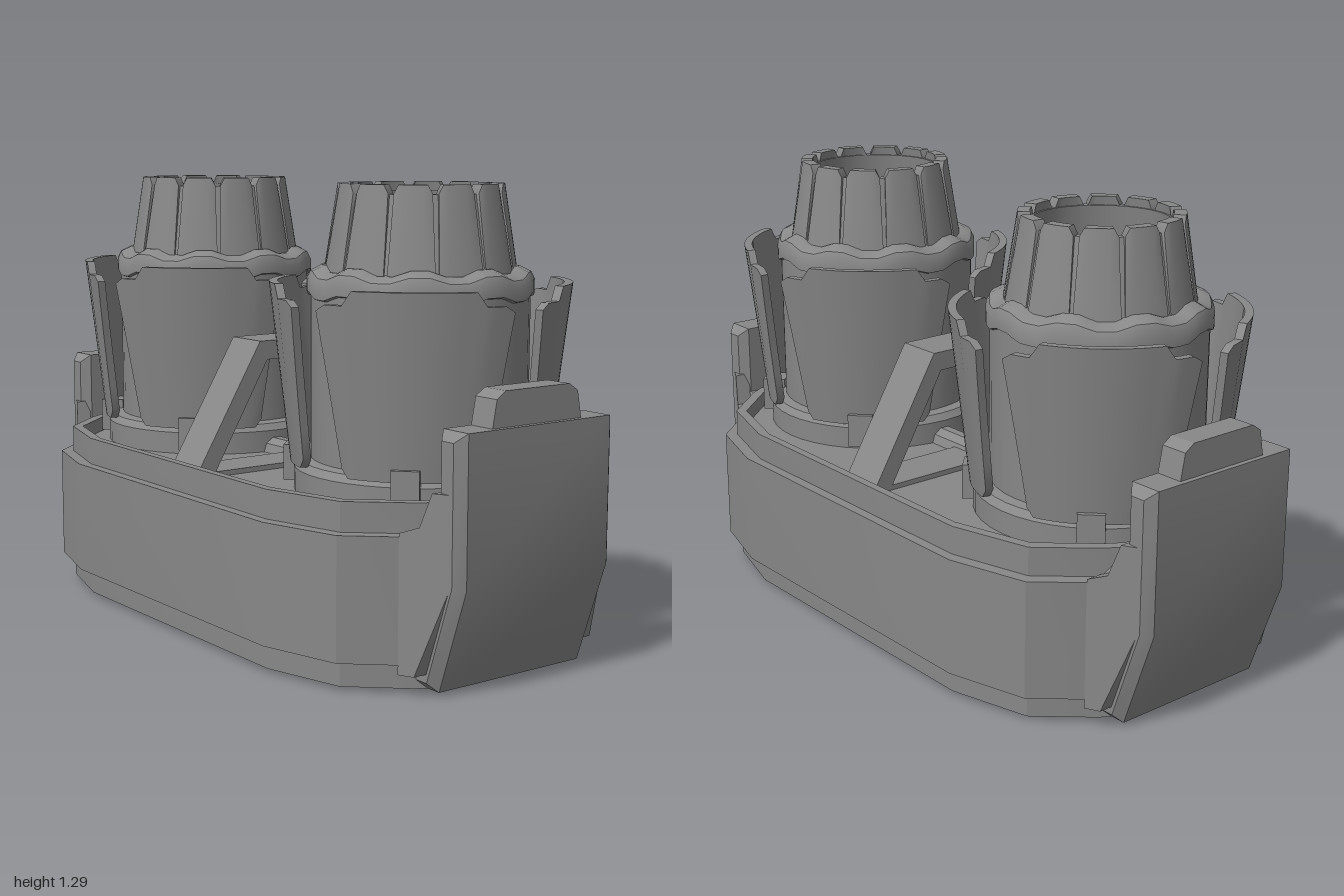
import * as THREE from 'three';
import { toCreasedNormals } from 'three/addons/utils/BufferGeometryUtils.js';

const material = new THREE.MeshStandardMaterial({ color: 0x888888 });
const lerp = THREE.MathUtils.lerp, rad = THREE.MathUtils.degToRad;

function add(parent, name, geometry) {
  const mesh = new THREE.Mesh(toCreasedNormals(geometry, rad(32)), material);
  mesh.name = name;
  parent.add(mesh);
  return mesh;
}

const points = (list) => list.map(([x, y]) => new THREE.Vector2(x, y));

function extrude(list, depth, holes = [], options = { bevelEnabled: false }) {
  const shape = new THREE.Shape(points(list));
  for (const hole of holes) shape.holes.push(new THREE.Path(points(hole)));
  return new THREE.ExtrudeGeometry(shape, { depth, ...options });
}

// Mirrors one quarter of the hull plan into a closed outline, moved inward by inset
function outline(inset) {
  const q = [[0.89, 0.26], [0.86, 0.308], [0.735, 0.45], [0.5, 0.515]]
    .map(([x, z]) => [x - inset * 0.8, z - inset]);
  const r = [...q].reverse();
  return [
    ...q, ...r.map(([x, z]) => [-x, z]),
    ...q.map(([x, z]) => [-x, -z]), ...r.map(([x, z]) => [x, -z]),
  ];
}

// Horizontal slab or ring between two heights
function slab(list, y0, y1, holes) {
  return extrude(list, y1 - y0, holes).rotateX(-Math.PI / 2).translate(0, y0, 0);
}

// Curved, tapered shell plate centred on +z; top and bottom edges follow rules of u
function shell({ a0, a1, r0, r1, thick, bottom, top, segments }) {
  const g = new THREE.BoxGeometry(1, 1, 1, segments, 5, 1);
  const p = g.attributes.position;
  for (let i = 0; i < p.count; i++) {
    const u = p.getX(i) * 2, v = p.getY(i) + 0.5, w = p.getZ(i) - 0.5;
    const angle = u * rad(lerp(a0, a1, v));
    const r = lerp(r0, r1, v) + w * thick;
    p.setXYZ(i, r * Math.sin(angle), lerp(bottom(Math.abs(u)), top(Math.abs(u)), v), r * Math.cos(angle));
  }
  return g;
}

function createThruster() {
  const g = new THREE.Group();
  g.name = 'thruster';

  // Body with foot ring, and the hollow nozzle liner
  add(g, 'body', new THREE.LatheGeometry(points([
    [0.345, 0.43], [0.345, 0.52], [0.33, 0.54], [0.3, 0.545], [0.3, 1.02], [0.258, 1.06],
    [0.216, 1.268], [0.19, 1.268], [0.23, 1.0], [0, 0.85],
  ]), 40));

  // Collar with a gently stepped edge
  const collar = new THREE.LatheGeometry(points([
    [0.295, 0.99], [0.31, 0.995], [0.31, 1.03], [0.3, 1.05], [0.268, 1.066], [0.25, 1.066],
  ]), 72);
  const p = collar.attributes.position;
  for (let i = 0; i < p.count; i++) {
    const wave = Math.sin(9 * Math.atan2(p.getX(i), p.getZ(i)));
    p.setY(i, p.getY(i) + 0.008 * THREE.MathUtils.clamp(wave * 3, -1, 1));
  }
  add(g, 'collar', collar);

  // Nozzle slats, nearly touching, with narrower tips
  const slat = shell({
    a0: 14, a1: 13, r0: 0.265, r1: 0.226, thick: 0.034, segments: 8,
    bottom: () => 1.045, top: (u) => (u > 0.8 ? 1.27 : 1.293),
  });
  for (let i = 0; i < 12; i++) add(g, 'nozzleSlat', slat).rotation.y = rad(15 + 30 * i);

  // Four flared flaps, each held by a clip
  const flap = shell({
    a0: 32, a1: 38, r0: 0.355, r1: 0.413, thick: 0.024, segments: 20,
    bottom: (u) => (u > 0.92 ? 0.56 : 0.535),
    top: (u) => (u > 0.95 ? 0.975 : u > 0.65 ? 0.992 : 1.03),
  });
  const clip = new THREE.BoxGeometry(0.075, 0.1, 0.07).translate(0, 0.52, 0.338);
  for (let i = 0; i < 4; i++) {
    add(g, 'flap', flap).rotation.y = rad(48 + 90 * i);
    add(g, 'flapClip', clip).rotation.y = rad(45 + 90 * i);
  }
  return g;
}

function createEndBracket() {
  const g = new THREE.Group();
  g.name = 'endBracket';

  // Upright end plate with chamfered side edges
  const bevel = { bevelThickness: 0.027, bevelSize: 0.025, bevelOffset: -0.025, bevelSegments: 1 };
  add(g, 'endPlate', extrude([
    [0.8, 0.012], [0.9, 0.012], [1, 0.3], [1, 0.697], [0.905, 0.697], [0.905, 0.48], [0.8, 0.44],
  ], 0.49, [], bevel).translate(0, 0, -0.245));

  // Cheeks that wrap back onto the hull corners
  for (const s of [-1, 1]) {
    const cheek = extrude([
      [0.84, 0.06], [0.88, 0.06], [0.965, 0.3], [0.965, 0.54], [0.92, 0.54], [0.89, 0.45], [0.84, 0.43],
    ], 0.05).translate(0, 0, -0.025);
    const p = cheek.attributes.position;
    for (let i = 0; i < p.count; i++) p.setZ(i, p.getZ(i) + s * (0.245 + (0.965 - p.getX(i)) * 0.5));
    cheek.computeVertexNormals();
    add(g, 'cheek', cheek);
  }

  // Tapered tab on top
  add(g, 'topTab', extrude([[-0.155, 0.69], [0.155, 0.69], [0.14, 0.77], [0.11, 0.79], [-0.11, 0.79], [-0.14, 0.77]], 0.08)
    .rotateY(Math.PI / 2).translate(0.905, 0, 0));
  return g;
}

function createHull() {
  const g = new THREE.Group();
  g.name = 'hull';
  add(g, 'bottomRim', slab(outline(0.03), 0.012, 0.09, [outline(0.09)]));
  add(g, 'sideBand', slab(outline(0), 0.085, 0.42));
  add(g, 'topRim', slab(outline(0.03), 0.42, 0.5, [outline(0.055)]));
  add(g, 'deck', slab(outline(0.05), 0.41, 0.455));

  // Underside plates either side of a channel
  const half = [[0.79, 0.11], [0.78, 0.2], [0.65, 0.36], [0.48, 0.425]];
  const plate = slab([...half, ...half.map(([x, z]) => [-x, z]).reverse()], 0.025, 0.09);
  for (const turn of [0, Math.PI]) add(g, 'bottomPlate', plate).rotation.y = turn;

  // Cross strut and centre disc
  add(g, 'bottomStrut', new THREE.CapsuleGeometry(0.06, 0.56, 4, 10).rotateX(Math.PI / 2).translate(0, 0.07, 0));
  add(g, 'bottomDisc', new THREE.CylinderGeometry(0.15, 0.15, 0.09, 24).scale(1.1, 1, 0.97).translate(0, 0.045, 0));
  add(g, 'deckStrut', new THREE.CylinderGeometry(0.045, 0.045, 0.5, 10).rotateZ(Math.PI / 2).translate(0, 0.455, 0));
  return g;
}

export function createModel() {
  const model = new THREE.Group();
  model.name = 'twinThrusterPack';
  model.add(createHull());

  // Thrusters and end brackets on both sides
  for (const s of [1, -1]) {
    const thruster = createThruster();
    thruster.position.x = 0.515 * s;
    const bracket = createEndBracket();
    bracket.rotation.y = s > 0 ? 0 : Math.PI;
    model.add(thruster, bracket);
  }

  // Open trapezoid frame between the thrusters
  add(model, 'centreFrame', extrude(
    [[-0.46, 0.44], [0.46, 0.44], [0.225, 0.835], [-0.225, 0.835]], 0.14,
    [[[-0.38, 0.47], [0.38, 0.47], [0.2, 0.78], [-0.2, 0.78]]],
  ).rotateY(Math.PI / 2).translate(-0.07, 0, 0));
  return model;
}
